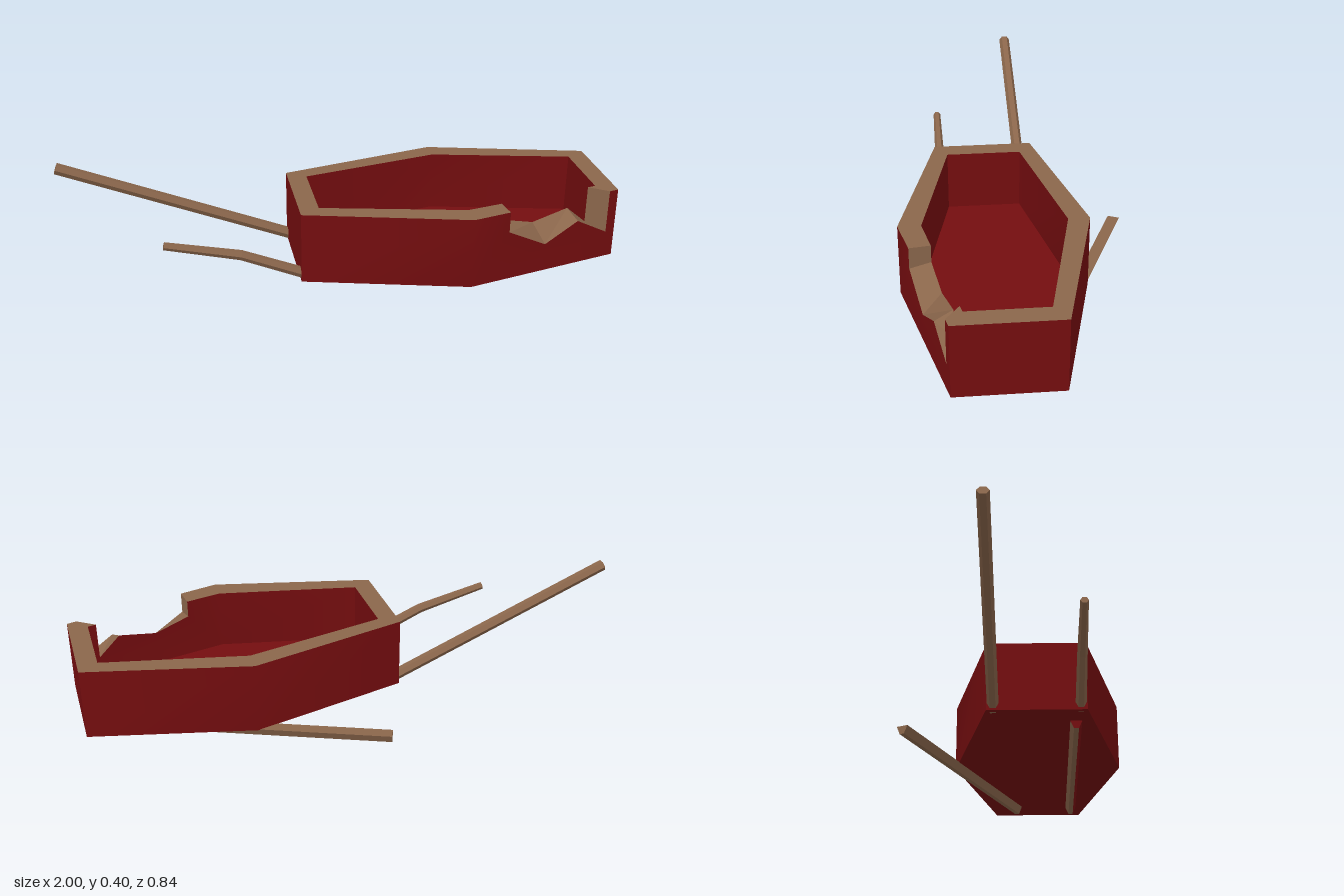
import * as THREE from 'three';
import { toCreasedNormals } from 'three/addons/utils/BufferGeometryUtils.js';

const v = (x, y, z) => new THREE.Vector3(x, y, z);

// Builds flat geometry from convex polygons, each fanned into triangles.
function fromFaces(faces) {
  const pts = [];
  for (const f of faces) {
    for (let i = 1; i < f.length - 1; i++) pts.push(f[0], f[i], f[i + 1]);
  }
  const geo = new THREE.BufferGeometry().setFromPoints(pts);
  geo.computeVertexNormals();
  return geo;
}

function addMesh(parent, name, geo, material) {
  const mesh = new THREE.Mesh(geo, material);
  mesh.name = name;
  parent.add(mesh);
  return mesh;
}

export function createModel() {
  const model = new THREE.Group();
  model.name = 'brokenWheelbarrow';
  const red = new THREE.MeshStandardMaterial({ name: 'dark red paint', color: 0x740d0f });
  const wood = new THREE.MeshStandardMaterial({ name: 'bare wood', color: 0x8a664b });

  // Tray plan outlines as [x, z], and its heights
  const outer = [[-0.16, 0.27], [0.42, 0.415], [1, 0.27], [1, -0.09], [0.42, -0.235], [-0.16, -0.09]];
  const inner = [[-0.09, 0.225], [0.42, 0.335], [0.93, 0.225], [0.93, -0.045], [0.42, -0.16], [-0.09, -0.045]];
  const base = 0.03, floor = 0.07, top = 0.293;

  // Jagged break in the second wall as [x, y], on its outer and inner faces
  const broken = 1;
  const outerBreak = [[0.56, top], [0.56, 0.215], [0.71, 0.135], [0.84, 0.2], [0.965, 0.13], [0.965, top]];
  const innerBreak = [[0.55, top], [0.55, 0.23], [0.68, 0.195], [0.82, 0.225], [0.9, 0.155], [0.9, top]];

  // Places break points on the sloping wall line
  const onWall = (ring, pts) => {
    const [a, b] = [ring[broken], ring[broken + 1]];
    return pts.map(([x, y]) => v(x, y, a[1] + (b[1] - a[1]) * (x - a[0]) / (b[0] - a[0])));
  };
  const outerEdge = onWall(outer, outerBreak);
  const innerEdge = onWall(inner, innerBreak);

  // Ring of walls, one of them cut by the break
  const walls = (ring, bottom, edge, inward) => {
    const faces = [];
    ring.forEach((a, i) => {
      const b = ring[(i + 1) % 6];
      const poly = [v(a[0], bottom, a[1]), v(b[0], bottom, b[1]), v(b[0], top, b[1])];
      if (i === broken) poly.push(...[...edge].reverse());
      poly.push(v(a[0], top, a[1]));
      if (i === broken) {
        const flat = poly.map((p) => new THREE.Vector2(p.x, p.y));
        for (const t of THREE.ShapeUtils.triangulateShape(flat, [])) faces.push(t.map((k) => poly[k]));
      } else faces.push(poly);
    });
    if (inward) faces.forEach((f) => f.reverse());
    return toCreasedNormals(fromFaces(faces), 0.6);
  };

  const tray = new THREE.Group();
  tray.name = 'tray';
  model.add(tray);
  addMesh(tray, 'outerWalls', walls(outer, base, outerEdge, false), red);
  addMesh(tray, 'innerWalls', walls(inner, floor, innerEdge, true), red);
  addMesh(tray, 'trayFloor', fromFaces([inner.map(([x, z]) => v(x, floor, z))]), red);
  addMesh(tray, 'trayUnderside', fromFaces([outer.map(([x, z]) => v(x, base, z)).reverse()]), red);

  // Bare top rim, interrupted at the break
  const rim = [];
  outer.forEach((a, i) => {
    const j = (i + 1) % 6;
    const at = (ring, k) => v(ring[k][0], top, ring[k][1]);
    if (i === broken) {
      rim.push([at(outer, i), outerEdge[0], innerEdge[0], at(inner, i)]);
      rim.push([outerEdge[5], at(outer, j), at(inner, j), innerEdge[5]]);
    } else rim.push([at(outer, i), at(outer, j), at(inner, j), at(inner, i)]);
  });
  addMesh(tray, 'rim', fromFaces(rim), wood);

  // Splintered surface across the wall thickness
  const splinters = [];
  for (let i = 0; i < 5; i++) splinters.push([outerEdge[i], outerEdge[i + 1], innerEdge[i + 1], innerEdge[i]]);
  addMesh(tray, 'brokenEdge', fromFaces(splinters), wood);

  // Six-sided handle swept along [x, y, radius] stations at a fixed z
  const handle = (name, z, stations) => {
    const rings = stations.map(([x, y, r], i) => {
      const p = stations[Math.max(i - 1, 0)], q = stations[Math.min(i + 1, stations.length - 1)];
      const dir = v(q[0] - p[0], q[1] - p[1], 0).normalize();
      return Array.from({ length: 6 }, (_, k) => {
        const c = Math.cos(k * Math.PI / 3) * r, s = Math.sin(k * Math.PI / 3) * r;
        return v(x - dir.y * s, y + dir.x * s, z + c);
      });
    });
    const faces = [[...rings[0]], [...rings.at(-1)].reverse()];
    for (let i = 0; i < rings.length - 1; i++) {
      for (let k = 0; k < 6; k++) {
        const m = (k + 1) % 6;
        faces.push([rings[i][k], rings[i + 1][k], rings[i + 1][m], rings[i][m]]);
      }
    }
    // Stations run toward -x, so the caps and sides are wound for that direction
    addMesh(model, name, fromFaces(faces), wood);
  };
  handle('longHandle', -0.066, [[-0.13, 0.045, 0.021], [-0.99, 0.388, 0.021]]);
  handle('brokenHandle', 0.247, [[-0.13, 0.045, 0.02], [-0.37, 0.145, 0.018], [-0.635, 0.205, 0.014]]);

  // Tapered runners under the tray: ends and sides are separate faces
  const runnerFaces = (length) => {
    const section = (x) => [v(x, 0.031, 0.022), v(x, 0, 0.009), v(x, 0, -0.009), v(x, 0.031, -0.022)];
    const a = section(-length / 2), b = section(length / 2);
    const side = (i) => [a[i], a[(i + 1) % 4], b[(i + 1) % 4], b[i]];
    return { ends: [[...a].reverse(), b], front: side(0), under: side(1), back: side(2), upper: side(3) };
  };
  const fixed = runnerFaces(0.96);
  const fixedRunner = new THREE.Group();
  fixedRunner.name = 'fixedRunner';
  fixedRunner.position.set(0.42, 0, 0.232);
  model.add(fixedRunner);
  addMesh(fixedRunner, 'paintedFaces', fromFaces([...fixed.ends, fixed.front, fixed.upper]), red);
  addMesh(fixedRunner, 'bareFaces', fromFaces([fixed.under, fixed.back]), wood);

  const loose = runnerFaces(1.0);
  const looseRunner = addMesh(model, 'looseRunner',
    fromFaces([...loose.ends, loose.front, loose.under, loose.back, loose.upper]), wood);
  looseRunner.position.set(0.435, 0, -0.2);
  looseRunner.rotation.y = -Math.atan2(0.4, 0.91);

  // Stand on the ground, centred in depth
  return model;
}
